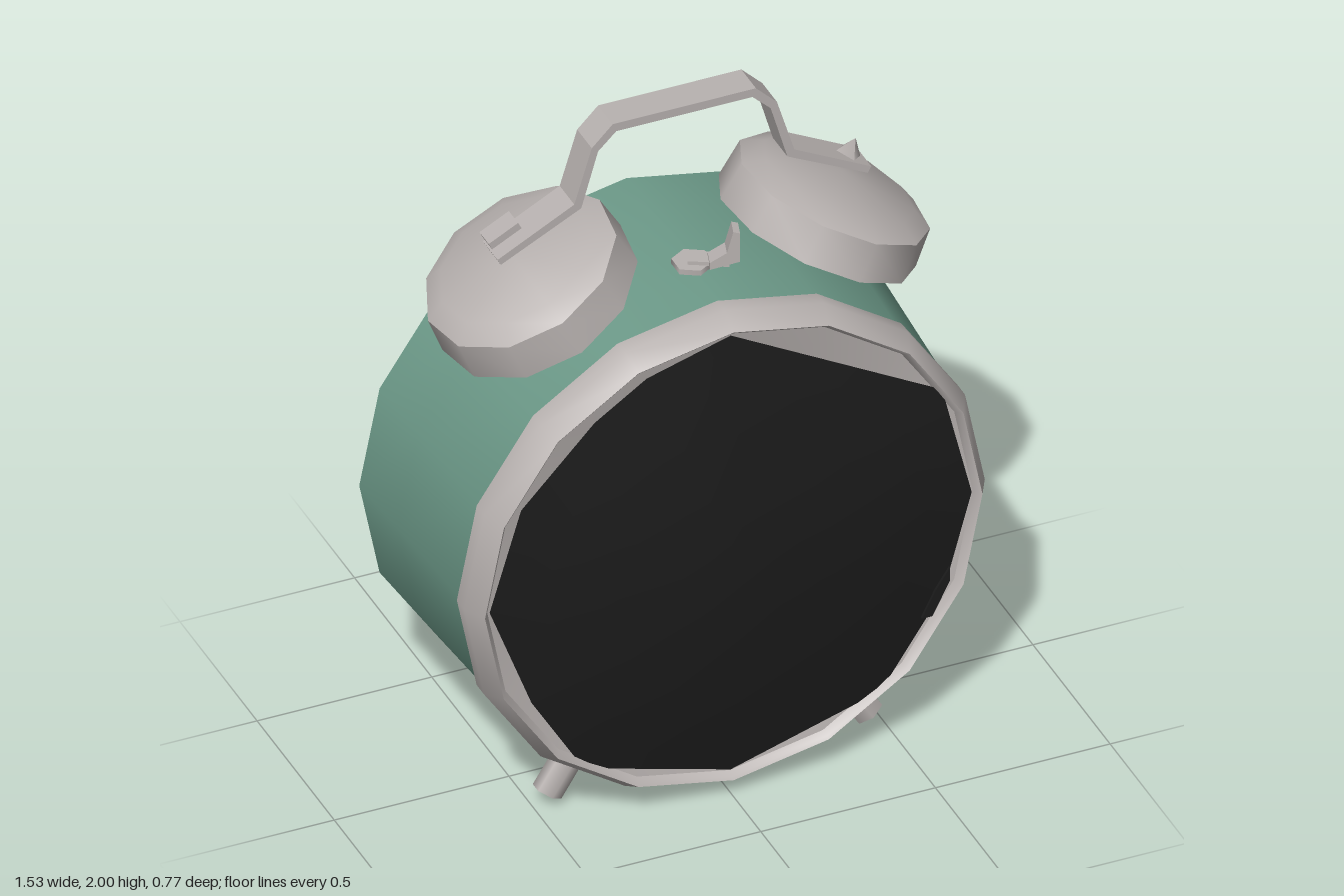
import * as THREE from 'three';
import { toCreasedNormals } from 'three/addons/utils/BufferGeometryUtils.js';

const material = (name, color) => {
  const m = new THREE.MeshStandardMaterial({ color, side: THREE.DoubleSide });
  m.name = name;
  return m;
};

// Low dome over a polygon outline: rings of [scale, z], closed by a centre point
function domeGeometry(outline, rings, peak) {
  const n = outline.length, pos = [], index = [];
  for (const [s, z] of rings) for (const [x, y] of outline) pos.push(x * s, y * s, z);
  pos.push(0, 0, peak);
  rings.forEach((_, r) => {
    for (let i = 0; i < n; i++) {
      const a = r * n + i, b = r * n + (i + 1) % n;
      if (r === rings.length - 1) index.push(a, b, rings.length * n);
      else index.push(a, b, b + n, a, b + n, a + n);
    }
  });
  const g = new THREE.BufferGeometry();
  g.setAttribute('position', new THREE.Float32BufferAttribute(pos, 3));
  g.setIndex(index);
  g.computeVertexNormals();
  return g;
}

export function createModel() {
  const green = material('green paint', 0x6c9988);
  const metal = material('warm grey metal', 0xb8b2b0);
  const black = material('black', 0x1b1b1b);
  const clock = new THREE.Group();
  clock.name = 'alarmClock';
  const CY = 0.77; // height of the dial centre

  const add = (name, geometry, mat, x = 0, y = 0, z = 0, parent = clock) => {
    const mesh = new THREE.Mesh(geometry, mat);
    mesh.name = name;
    mesh.position.set(x, y, z);
    parent.add(mesh);
    return mesh;
  };
  const shape = pts => new THREE.Shape(pts.map(p => new THREE.Vector2(...p)));
  const extrude = (pts, depth) => new THREE.ExtrudeGeometry(shape(pts), { depth, bevelEnabled: false });
  // Profile of [radius, height] turned about y
  const lathe = (profile, sides, crease = 0.8) => toCreasedNormals(
    new THREE.LatheGeometry(profile.map(p => new THREE.Vector2(...p)), sides), crease);
  // Same, turned about z
  const round = (name, profile, sides, mat) =>
    add(name, lathe(profile, sides).rotateX(Math.PI / 2), mat, 0, CY);

  // Case, open at the back, with a slim metal edge
  round('caseShell', [[0.765, -0.37], [0.752, -0.15], [0.73, 0.23]], 16, green);
  round('backEdge', [[0.754, -0.369], [0.763, -0.371]], 16, metal);

  // Front bezel
  round('bezel', [[0.69, 0.215], [0.745, 0.217], [0.745, 0.265], [0.712, 0.325],
    [0.705, 0.318], [0.695, 0.3], [0.58, 0.278]], 16, metal);

  // Domed dial with uneven facets
  const dialOutline = [[0, 0.69], [-0.24, 0.62], [-0.39, 0.52], [-0.6, 0.3], [-0.69, 0], [-0.57, -0.32],
    [-0.42, -0.57], [0, -0.69], [0.43, -0.56], [0.61, -0.29], [0.69, 0], [0.605, 0.35]];
  add('dial', domeGeometry(dialOutline, [[1, 0.305], [0.8, 0.33], [0.58, 0.358], [0.25, 0.379]], 0.385), black, 0, CY);

  // Dark chip on the lower bezel
  const chip = add('bezelChip', extrude([[0.54, 0.42], [0.57, 0.42], [0.62, 0.52], [0.62, 0.56], [0.58, 0.5]], 0.008),
    black, 0, 0, 0.315);
  chip.name = 'bezelChip';

  // Back panel with bevelled, raised middle
  const BACK = -0.332;
  round('backPanel', [[0, BACK], [0.645, BACK], [0.66, -0.318], [0.715, -0.3], [0.738, -0.24]], 16, black);

  // Battery cover: frame strips, lid, ledge and latch
  const plate = (name, w, h, d, x, y) =>
    add(name, new THREE.BoxGeometry(w, h, d), black, x, y, BACK - d / 2);
  plate('coverFrameTop', 0.62, 0.012, 0.006, 0, 0.68);
  for (const s of [-1, 1]) plate('coverFrameSide', 0.012, 0.33, 0.006, s * 0.304, 0.515);
  plate('batteryLid', 0.43, 0.18, 0.008, 0, 0.51);
  plate('coverLedge', 0.62, 0.05, 0.015, 0, 0.325);
  plate('latch', 0.18, 0.05, 0.022, 0, 0.31);

  // Winding keys
  for (const s of [-1, 1]) {
    add('windingKey', new THREE.CylinderGeometry(0.06, 0.04, 0.055, 6).rotateX(-Math.PI / 2).scale(0.65, 1, 1),
      black, s * 0.265, 0.99, -0.358);
  }

  for (const s of [-1, 1]) {
    // Bell, open below, tilted outwards
    const bell = add(s > 0 ? 'leftBell' : 'rightBell',
      lathe([[0.288, 0], [0.278, 0.113], [0.22, 0.145], [0, 0.172]], 11, 0.9), metal, s * 0.398, 1.478, -0.045);
    bell.rotation.z = -s * 0.468;

    // Foot, pointing away from the dial centre
    const foot = add('foot', new THREE.CylinderGeometry(0.045, 0.045, 0.11, 6).scale(1, 1, 0.8),
      metal, s * 0.43, 0.09, 0.155);
    foot.rotation.z = s * 0.565;
  }

  // Handle: a bent strip mirrored left to right
  const outer = [[0.535, 1.66], [0.315, 1.775], [0.265, 1.94], [0.205, 2]];
  const inner = [[0.195, 1.975], [0.247, 1.925], [0.295, 1.758], [0.525, 1.642]];
  const flip = pts => pts.map(([x, y]) => [-x, y]).reverse();
  add('handle', extrude([...outer, ...flip(outer), ...flip(inner), ...inner], 0.095), metal, 0, 0, -0.09);

  // Fastenings on the handle ends: a flat nut and a pointed one
  const nut = add('flatNut', new THREE.BoxGeometry(0.095, 0.022, 0.06), metal, -0.502, 1.711, -0.05);
  nut.rotation.z = 0.48;
  const spike = add('pointedNut', new THREE.ConeGeometry(0.045, 0.055, 4), metal, 0.5, 1.7, -0.045);
  spike.rotation.z = -0.47;

  // Hammer between the bells
  add('hammerBase', new THREE.CylinderGeometry(0.055, 0.055, 0.016, 6), metal, 0, 1.535, 0.055);
  const arm = add('hammerArm', new THREE.BoxGeometry(0.11, 0.012, 0.05), metal, 0.04, 1.548, 0.075);
  arm.rotation.y = -0.5;
  const head = add('hammerHead', extrude([[0, 0], [0.08, 0.02], [0.08, 0.11], [0.062, 0.115], [0.045, 0.05], [0, 0.022]], 0.05),
    metal, 0.04, 1.54, 0.065);
  head.rotation.y = -0.3;

  return clock;
}
